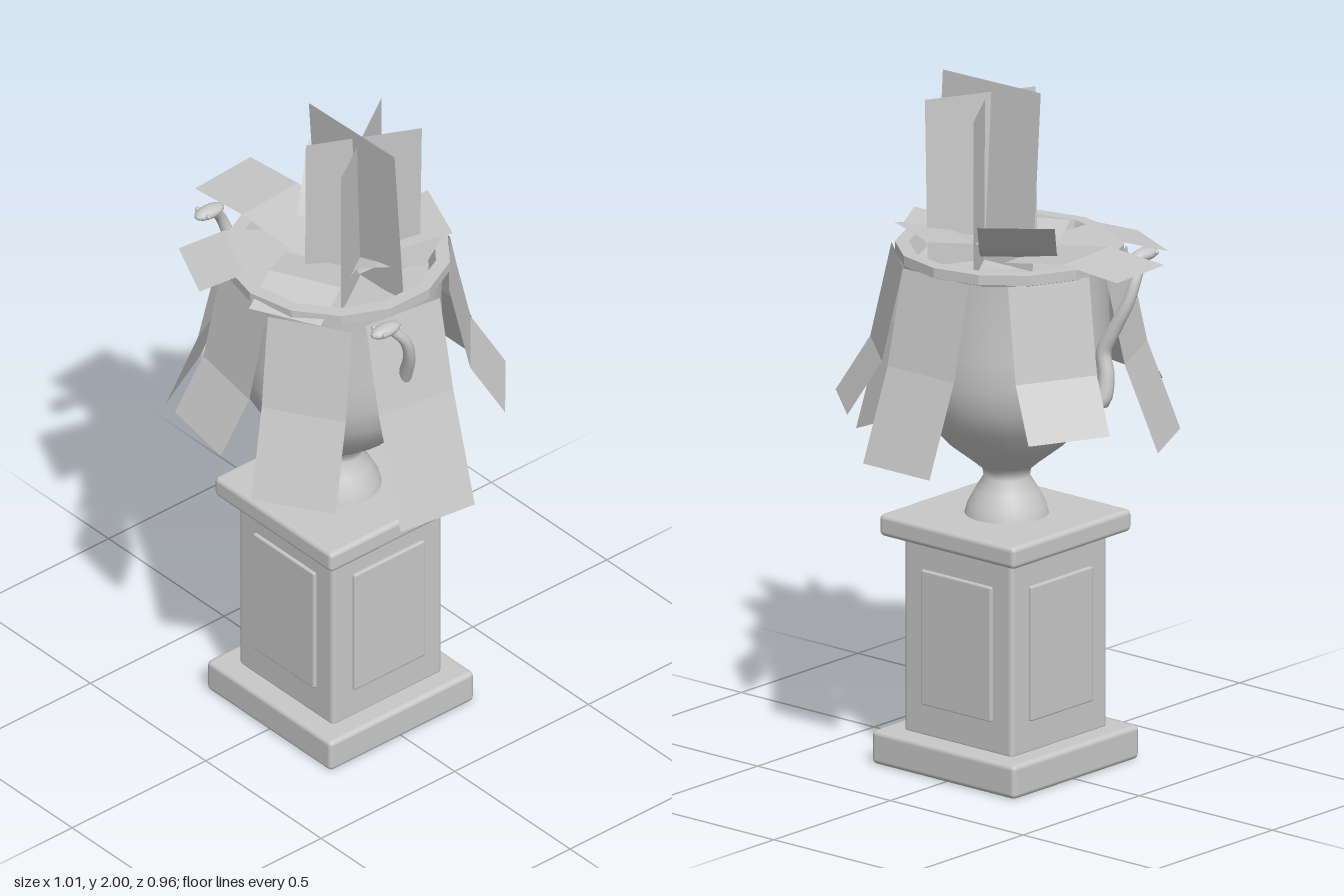
import * as THREE from 'three';
import { RoundedBoxGeometry } from 'three/addons/geometries/RoundedBoxGeometry.js';

export function createModel() {
  const root = new THREE.Group();
  root.name = 'urnOnPedestal';
  const stone = new THREE.MeshStandardMaterial({ color: 0xc8c8c8, side: THREE.DoubleSide });
  stone.name = 'pale grey stone';

  const add = (name, geo, x = 0, y = 0, z = 0, parent = root) => {
    const m = new THREE.Mesh(geo, stone);
    m.name = name;
    m.position.set(x, y, z);
    parent.add(m);
    return m;
  };
  const flat = (geo) => {
    const g = geo.index ? geo.toNonIndexed() : geo;
    g.computeVertexNormals();
    return g;
  };
  const v = (p) => new THREE.Vector3(...p);

  // Pedestal
  const block = (name, w, y0, y1, r) =>
    add(name, new RoundedBoxGeometry(w, y1 - y0, w, 2, r), 0.005, (y0 + y1) / 2, 0);
  block('pedestalBase', 0.54, 0, 0.1, 0.015);
  block('pedestalShaft', 0.41, 0.09, 0.685, 0.015);
  block('pedestalCap', 0.51, 0.675, 0.74, 0.015);
  for (let i = 0; i < 4; i++) {
    const a = (i * Math.PI) / 2;
    const p = add('pedestalPanel', new RoundedBoxGeometry(0.265, 0.4, 0.03, 1, 0.006),
      0.005 + Math.sin(a) * 0.2, 0.39, Math.cos(a) * 0.2);
    p.rotation.y = a;
  }

  // Foot and bowl
  const lathe = (pts, n) => new THREE.LatheGeometry(pts.map((p) => new THREE.Vector2(...p)), n);
  add('urnFoot', lathe([[0.12, 0.74], [0.112, 0.77], [0.09, 0.81], [0.066, 0.85], [0.07, 0.875], [0.09, 0.89]], 28));
  add('urnBowl', lathe([[0.06, 0.87], [0.1, 0.9], [0.17, 0.955], [0.235, 1.03], [0.275, 1.1],
    [0.292, 1.18], [0.294, 1.27], [0.29, 1.4], [0.295, 1.51]], 32));

  // Faceted rim with the shallow inside
  add('urnRim', flat(lathe([[0.285, 1.495], [0.325, 1.51], [0.325, 1.54], [0.285, 1.54], [0.265, 1.49], [0, 1.46]], 14)), -0.01, 0, 0);

  // Leaf: a strip of constant width along a midline
  const leaf = (name, line, width) => {
    const a = v(line[0]), b = v(line[line.length - 1]);
    const side = new THREE.Vector3(-(b.z - a.z), 0, b.x - a.x).normalize().multiplyScalar(width / 2);
    const pos = [], idx = [];
    line.forEach((p, i) => {
      const c = v(p);
      pos.push(...c.clone().sub(side).toArray(), ...c.clone().add(side).toArray());
      if (i) idx.push(2 * i - 2, 2 * i, 2 * i - 1, 2 * i - 1, 2 * i, 2 * i + 1);
    });
    const g = new THREE.BufferGeometry();
    g.setAttribute('position', new THREE.Float32BufferAttribute(pos, 3));
    g.setIndex(idx);
    add(name, flat(g));
  };

  // Drooping leaves: top x, z then tip x, y, z
  [
    [-0.005, -0.31, -0.005, 0.97, -0.48],
    [0.215, -0.225, 0.32, 1.08, -0.345],
    [0.31, 0.03, 0.49, 0.9, 0.055],
    [0.185, 0.27, 0.265, 0.98, 0.4],
    [-0.055, 0.31, -0.08, 1.075, 0.46],
    [-0.27, 0.16, -0.41, 0.98, 0.23],
    [-0.28, -0.14, -0.415, 1.08, -0.205],
  ].forEach(([x, z, tx, ty, tz]) => {
    const t = 0.38;
    leaf('droopingLeaf', [[x, 1.51, z], [x + (tx - x) * t, 1.235, z + (tz - z) * t], [tx, ty, tz]], 0.25);
  });

  // Spreading leaves over the rim
  [
    [[-0.1, 1.53, -0.02], [-0.3, 1.56, 0], [-0.5, 1.545, 0.005]],
    [[-0.11, 1.52, 0.08], [-0.18, 1.55, 0.24], [-0.24, 1.51, 0.355]],
    [[-0.1, 1.53, -0.06], [-0.165, 1.575, -0.14], [-0.235, 1.68, -0.228]],
    [[0.01, 1.53, -0.02], [0.07, 1.58, -0.13], [0.115, 1.61, -0.278]],
    [[0.0, 1.52, 0.0], [0.12, 1.57, -0.06], [0.245, 1.605, -0.14]],
    [[0.0, 1.54, 0.07], [0.06, 1.56, 0.18], [0.117, 1.515, 0.305]],
  ].forEach((line, i) => leaf('spreadingLeaf', line, i === 4 ? 0.15 : 0.22));

  // Upright blades: bottom and top edges
  const blade = (a, b, c, d) => {
    const g = new THREE.BufferGeometry();
    g.setAttribute('position', new THREE.Float32BufferAttribute([...a, ...b, ...c, ...a, ...c, ...d], 3));
    add('uprightBlade', flat(g));
  };
  blade([-0.115, 1.48, -0.02], [0.245, 1.48, -0.03], [0.245, 2, 0.005], [-0.115, 2, 0.015]);
  blade([-0.01, 1.48, 0.12], [0.14, 1.48, -0.18], [0.155, 1.97, -0.175], [0.005, 1.97, 0.13]);
  blade([-0.05, 1.48, -0.2], [0.17, 1.48, 0.14], [0.17, 1.95, 0.14], [-0.05, 1.95, -0.2]);

  // Animal-headed handles, mirrored left and right
  for (const s of [1, -1]) {
    const h = new THREE.Group();
    h.name = s > 0 ? 'leftHandle' : 'rightHandle';
    root.add(h);
    const path = new THREE.CatmullRomCurve3([
      [0.28, 1.14, 0.0], [0.335, 1.13, 0.02], [0.34, 1.2, 0.04], [0.325, 1.27, 0.045], [0.35, 1.33, 0.055],
      [0.39, 1.42, 0.075], [0.4, 1.49, 0.1], [0.385, 1.54, 0.14],
    ].map(([x, y, z]) => new THREE.Vector3(x * s, y, z)));
    const neck = new THREE.TubeGeometry(path, 32, 0.022, 10);
    // Taper toward the head
    const p = neck.attributes.position;
    for (let i = 0; i < p.count; i++) {
      const t = Math.floor(i / 11) / 32;
      const c = path.getPointAt(t);
      const q = new THREE.Vector3().fromBufferAttribute(p, i).sub(c).multiplyScalar(1.25 - 0.6 * t).add(c);
      p.setXYZ(i, q.x, q.y, q.z);
    }
    neck.computeVertexNormals();
    add('neck', neck, 0, 0, 0, h);
    const head = add('head', new THREE.SphereGeometry(1, 14, 10), s * 0.382, 1.545, 0.157, h);
    head.scale.set(0.026, 0.018, 0.052);
    for (const e of [1, -1])
      add('eye', new THREE.SphereGeometry(0.008, 8, 6), s * 0.382 + e * 0.024, 1.55, 0.18, h);
  }
  return root;
}
